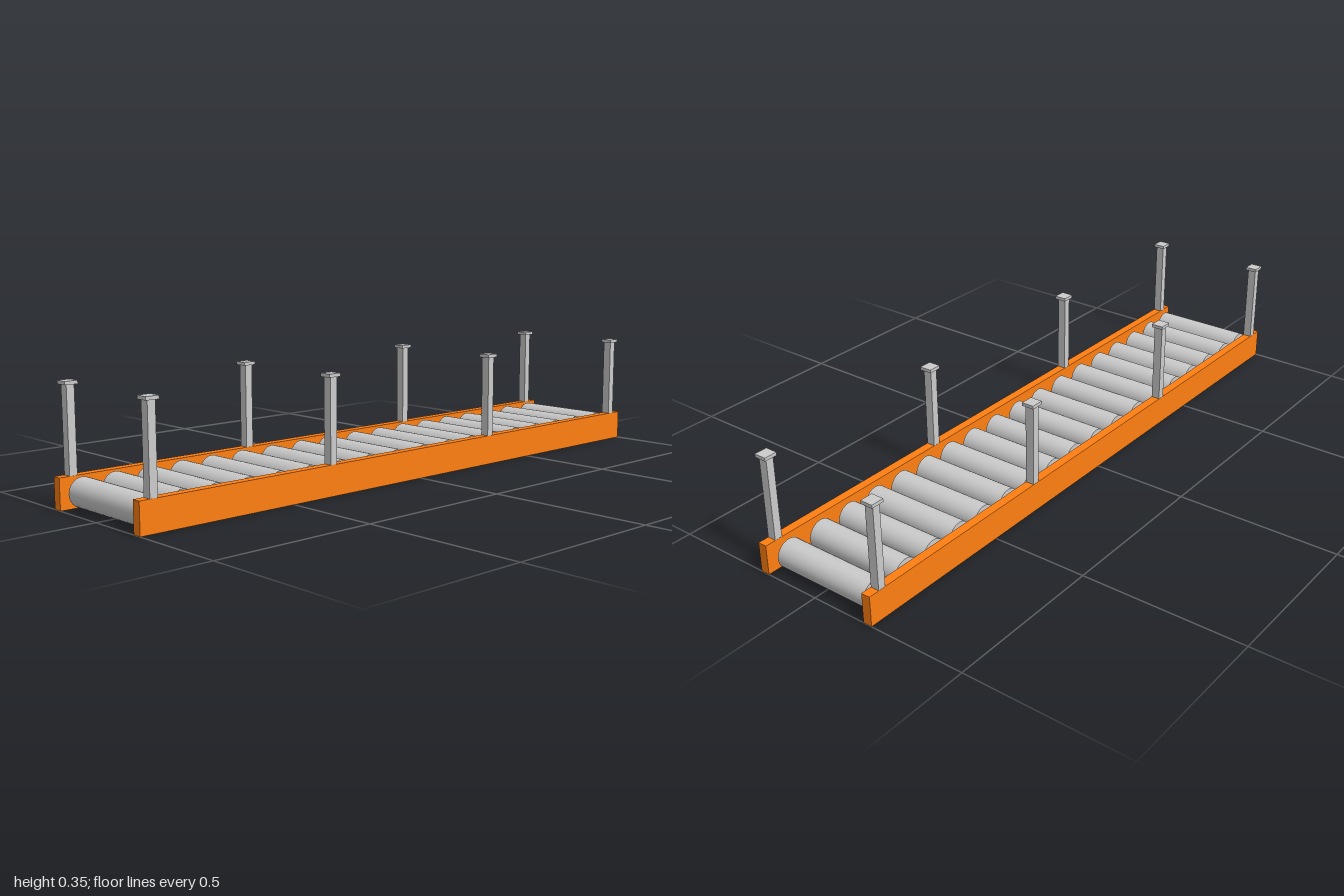
import * as THREE from 'three';

export function createModel() {
  const model = new THREE.Group();
  model.name = 'rollerConveyor';
  const grey = new THREE.MeshStandardMaterial({ color: 0xcccccc });
  const orange = new THREE.MeshStandardMaterial({ color: 0xff7f11 });

  const box = (name, w, h, d, x, y, z, material, parent) => {
    const mesh = new THREE.Mesh(new THREE.BoxGeometry(w, h, d), material);
    mesh.name = name;
    mesh.position.set(x, y, z);
    parent.add(mesh);
  };

  // Side rails, each with four capped posts
  const postZ = [0.956, 0.352, -0.314, -0.954];
  for (const [side, x] of [['left', 0.188], ['right', -0.189]]) {
    box(side + 'Rail', 0.028, 0.091, 2, x, 0.0455, 0, orange, model);
    for (const z of postZ) {
      const post = new THREE.Group();
      post.name = side + 'Post';
      post.position.set(x, 0, z);
      box('postShaft', 0.027, 0.248, 0.024, 0, 0.215, 0, grey, post);
      box('postCap', 0.038, 0.01, 0.04, 0, 0.344, 0, grey, post);
      model.add(post);
    }
  }

  // Rollers on thin axles that reach into the rails
  const drum = new THREE.CylinderGeometry(0.043, 0.043, 0.313, 32).rotateZ(Math.PI / 2);
  const axle = new THREE.CylinderGeometry(0.009, 0.009, 0.354, 16).rotateZ(Math.PI / 2);
  const rollerZ = [-0.937, -0.82, -0.71, -0.603, -0.497, -0.388, -0.281, -0.174, -0.063,
    0.053, 0.164, 0.281, 0.396, 0.508, 0.615, 0.726, 0.836, 0.94];
  for (const z of rollerZ) {
    const roller = new THREE.Group();
    roller.name = 'roller';
    roller.position.set(-0.002, 0.046, z);
    const drumMesh = new THREE.Mesh(drum, grey);
    drumMesh.name = 'drum';
    const axleMesh = new THREE.Mesh(axle, grey);
    axleMesh.name = 'axle';
    roller.add(drumMesh, axleMesh);
    model.add(roller);
  }
  return model;
}
